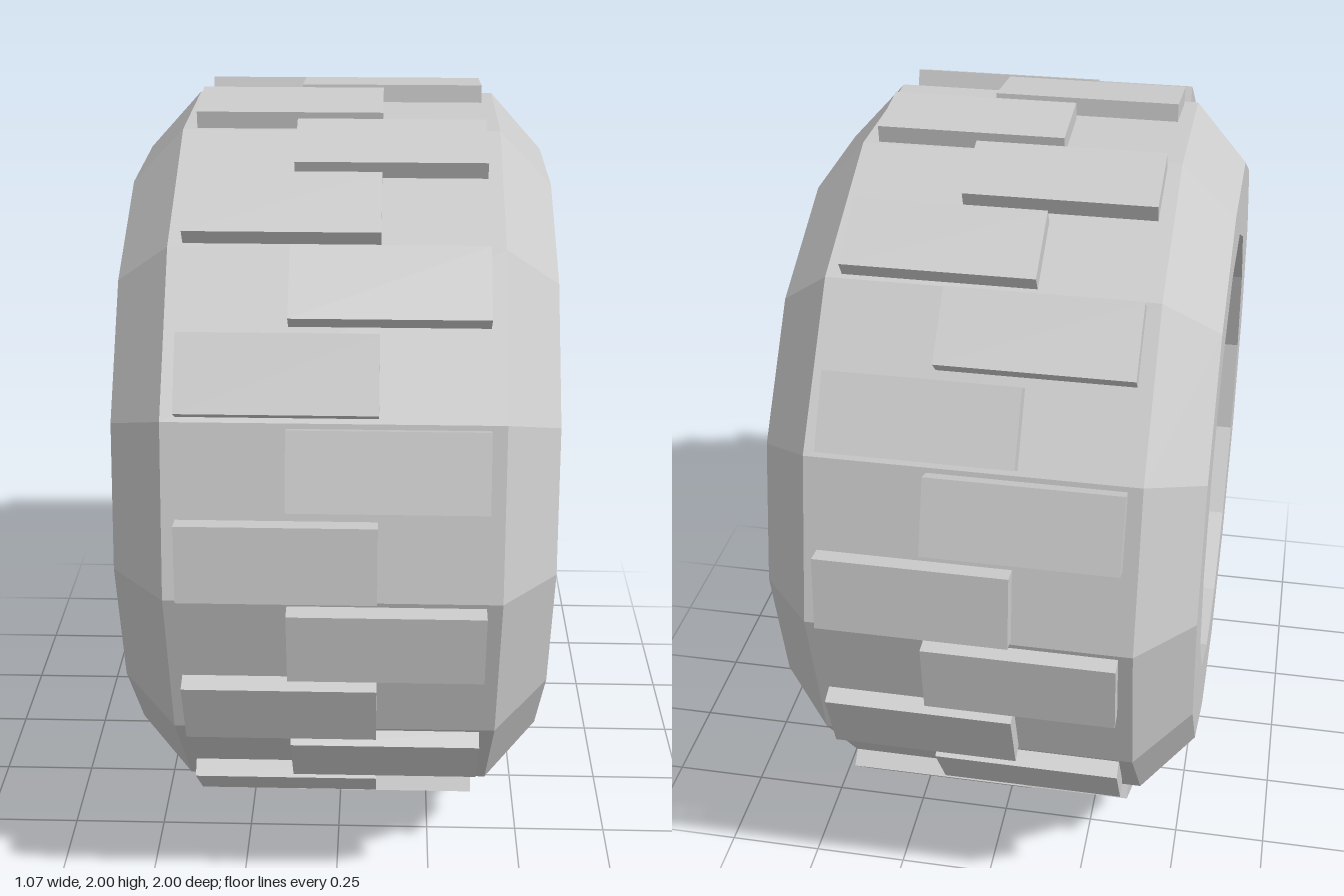
import * as THREE from 'three';

const SIDES = 14;
const BLOCKS = SIDES * 2;

export function createModel() {
  const group = new THREE.Group();
  group.name = 'tire';
  const material = new THREE.MeshStandardMaterial({ color: 0xcccccc, flatShading: true });

  // Tire carcass: closed profile (radius, width) turned around the x axle
  const profile = [
    [0.615, -0.537], [0.81, -0.537], [0.96, -0.4], [0.96, 0.4],
    [0.81, 0.537], [0.615, 0.537], [0.615, -0.537],
  ].map(([r, w]) => new THREE.Vector2(r, w));
  const carcassGeometry = new THREE.LatheGeometry(profile, SIDES);
  carcassGeometry.rotateZ(-Math.PI / 2);
  const carcass = new THREE.Mesh(carcassGeometry, material);
  carcass.name = 'carcass';
  carcass.position.y = 1;
  group.add(carcass);

  // Tread blocks: two per facet, staggered alternately left and right
  const treads = new THREE.Group();
  treads.name = 'treadBlocks';
  treads.position.y = 1;
  const thickness = 0.045;
  const blockGeometry = new THREE.BoxGeometry(0.47, 0.19, thickness);
  for (let i = 0; i < BLOCKS; i++) {
    const angle = ((i + 0.5) / BLOCKS) * Math.PI * 2;
    const radius = 0.996 - thickness / 2;
    const block = new THREE.Mesh(blockGeometry, material);
    block.name = 'treadBlock' + (i + 1);
    block.position.set(i % 2 ? 0.127 : -0.13, Math.sin(angle) * radius, Math.cos(angle) * radius);
    block.rotation.x = -angle;
    treads.add(block);
  }
  group.add(treads);
  return group;
}
